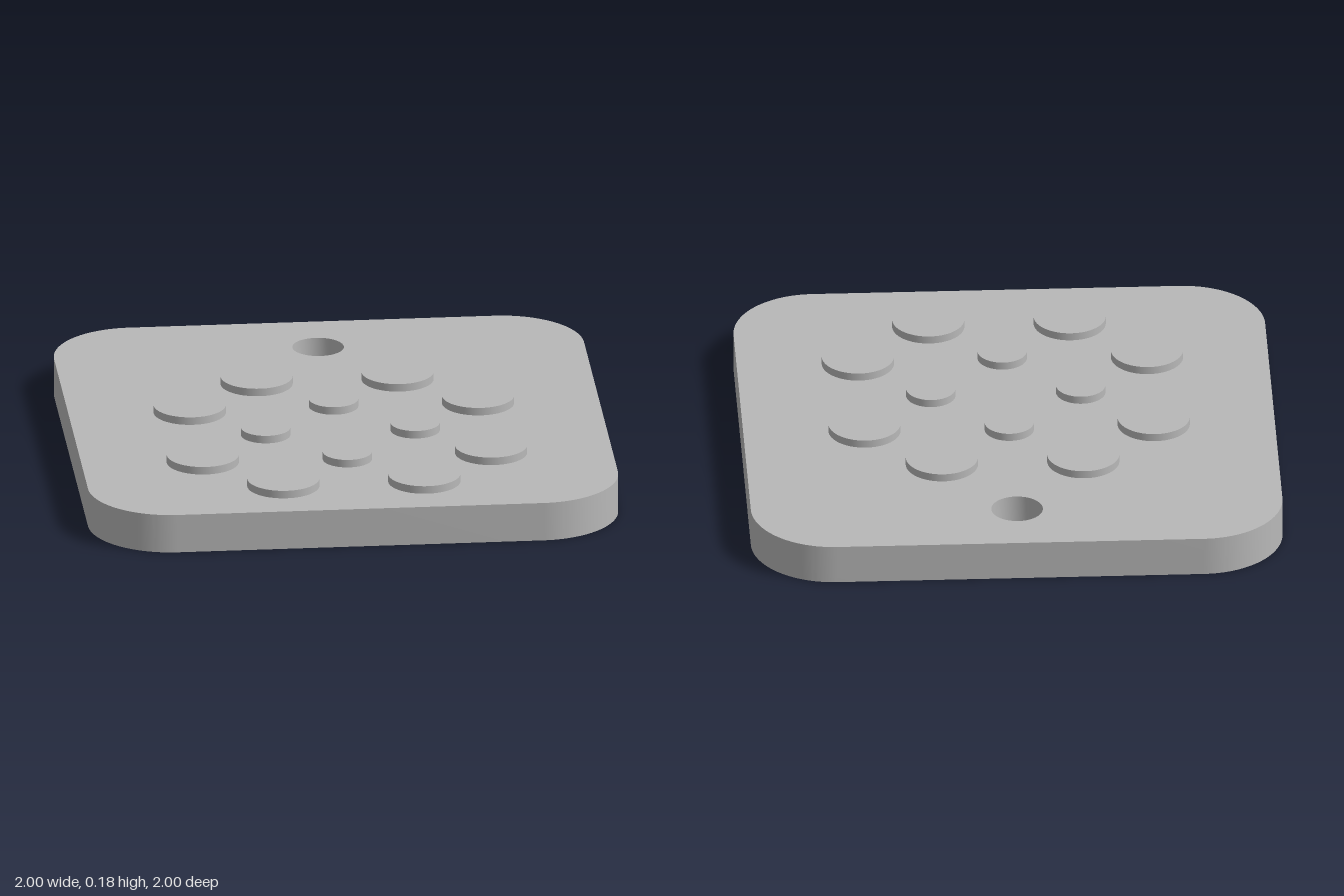
import * as THREE from 'three';
import { toCreasedNormals } from 'three/addons/utils/BufferGeometryUtils.js';

const PLATE_HEIGHT = 0.15;
const STUD_HEIGHT = 0.03;
const CORNER = 0.31;

// Rounded square slab with one hanging hole near the back edge
function plateGeometry() {
  const c = 1 - CORNER;
  const shape = new THREE.Shape();
  shape.absarc(c, c, CORNER, 0, Math.PI / 2);
  shape.absarc(-c, c, CORNER, Math.PI / 2, Math.PI);
  shape.absarc(-c, -c, CORNER, Math.PI, Math.PI * 1.5);
  shape.absarc(c, -c, CORNER, Math.PI * 1.5, Math.PI * 2);
  shape.closePath();

  const hole = new THREE.Path();
  hole.absarc(0, 0.73, 0.097, 0, Math.PI * 2, true);
  shape.holes.push(hole);

  const geometry = new THREE.ExtrudeGeometry(shape, {
    depth: PLATE_HEIGHT, bevelEnabled: false, curveSegments: 24,
  });
  geometry.rotateX(-Math.PI / 2);
  return toCreasedNormals(geometry, 0.6);
}

export function createModel() {
  const group = new THREE.Group();
  const grey = new THREE.MeshStandardMaterial({ color: 0xb8b8b8 });
  grey.name = 'plain grey';

  const plate = new THREE.Mesh(plateGeometry(), grey);
  plate.name = 'basePlate';
  group.add(plate);

  // Raised round studs sitting on the plate
  const addStuds = (name, radius, centres) => {
    const geometry = new THREE.CylinderGeometry(radius, radius, STUD_HEIGHT, 64);
    for (const [x, z] of centres) {
      const stud = new THREE.Mesh(geometry, grey);
      stud.name = name;
      stud.position.set(x, PLATE_HEIGHT + STUD_HEIGHT / 2, z);
      group.add(stud);
    }
  };

  // Outer ring of eight large studs, mirrored left and right
  const halfRing = [[0.266, -0.365], [0.544, -0.085], [0.544, 0.445], [0.266, 0.725]];
  addStuds('outerStud', 0.136, halfRing.flatMap(([x, z]) => [[x, z], [-x, z]]));

  // Inner diamond of four small studs
  addStuds('innerStud', 0.093, [[0, -0.1], [0.282, 0.18], [-0.282, 0.18], [0, 0.463]]);

  return group;
}
